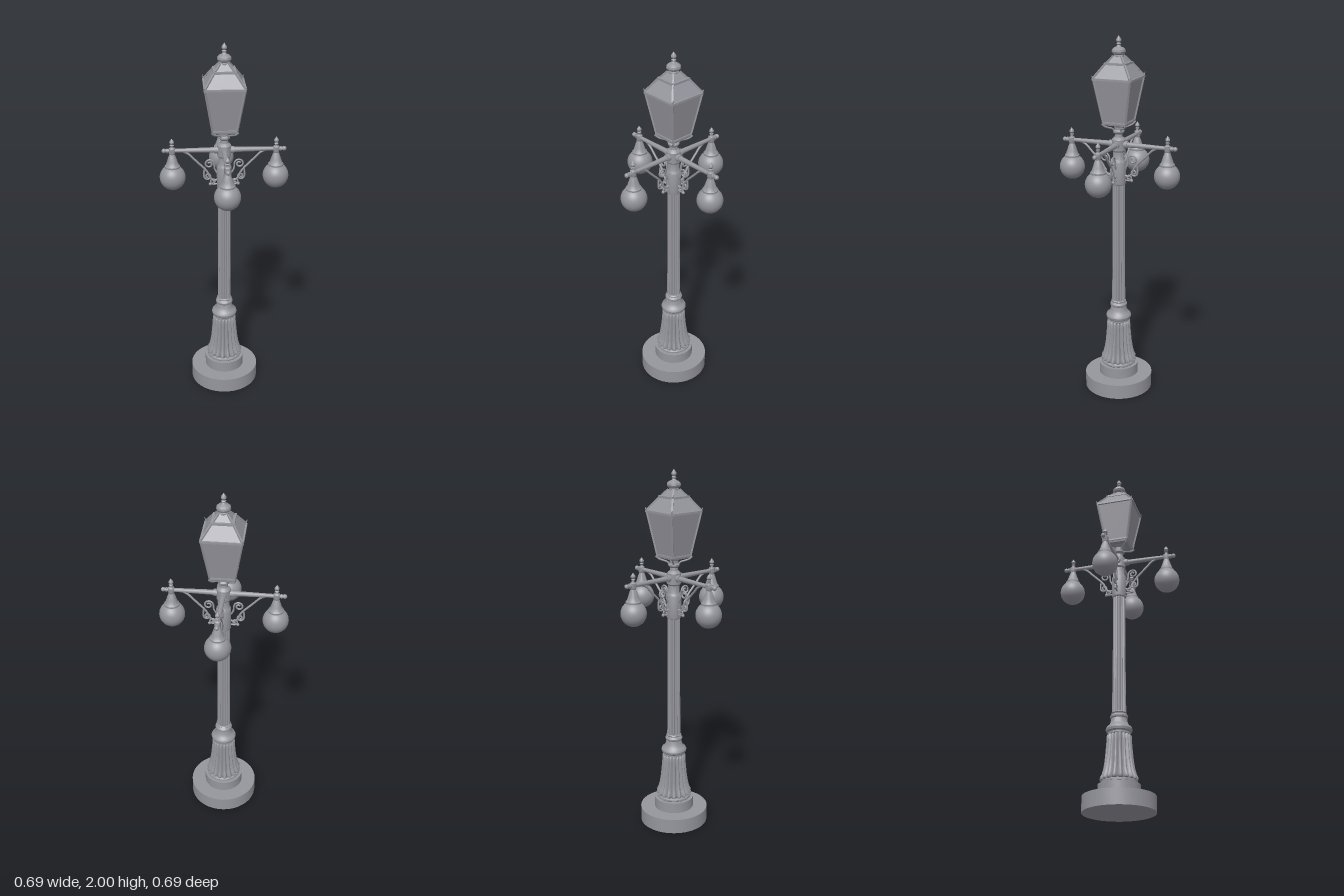
import * as THREE from 'three';
import { toCreasedNormals } from 'three/addons/utils/BufferGeometryUtils.js';

const metal = new THREE.MeshStandardMaterial({ color: 0x95959d, side: THREE.DoubleSide });
const V = (x, y, z) => new THREE.Vector3(x, y, z);

function add(parent, name, geometry, x = 0, y = 0, z = 0) {
  const mesh = new THREE.Mesh(geometry, metal);
  mesh.name = name;
  mesh.position.set(x, y, z);
  parent.add(mesh);
  return mesh;
}

// Turned part from [radius, y] pairs, with sharp edges kept
function turned(points, segments = 32) {
  const g = new THREE.LatheGeometry(points.map(([r, y]) => new THREE.Vector2(r, y)), segments);
  return toCreasedNormals(g, 0.6);
}

// Turned part with vertical rounded grooves
function fluted(points, count, depth) {
  const g = new THREE.LatheGeometry(points.map(([r, y]) => new THREE.Vector2(r, y)), count * 8);
  const p = g.attributes.position;
  for (let i = 0; i < p.count; i++) {
    const a = Math.atan2(p.getX(i), p.getZ(i));
    const k = 1 - depth * (1 - Math.abs(Math.sin(a * count / 2)));
    p.setX(i, p.getX(i) * k);
    p.setZ(i, p.getZ(i) * k);
  }
  return toCreasedNormals(g, 0.7);
}

// Square frustum given by half widths
function frustum(top, bottom, y0, y1, open = false) {
  const g = new THREE.CylinderGeometry(top * Math.SQRT2, bottom * Math.SQRT2, y1 - y0, 4, 1, open);
  return toCreasedNormals(g.rotateY(Math.PI / 4).translate(0, (y0 + y1) / 2, 0), 0.3);
}

// Square bar between two points, in the space of its parent
function bar(parent, name, a, b, w) {
  const g = new THREE.BoxGeometry(w, w, a.distanceTo(b));
  g.applyMatrix4(new THREE.Matrix4().lookAt(b, a, V(0, 1, 0)));
  add(parent, name, g, (a.x + b.x) / 2, (a.y + b.y) / 2, (a.z + b.z) / 2);
}

function tube(points, r) {
  const curve = new THREE.CatmullRomCurve3(points.map(([x, y]) => V(x, y, 0)));
  return new THREE.TubeGeometry(curve, points.length * 6, r, 8);
}

// Scroll that winds inward around a centre
function scroll(cx, cy, r, start, turns, dir) {
  const pts = [];
  for (let i = 0; i <= 14; i++) {
    const t = i / 14, a = start + dir * t * turns * Math.PI * 2, s = r * (1 - 0.72 * t);
    pts.push([cx + Math.cos(a) * s, cy + Math.sin(a) * s]);
  }
  return pts;
}

function createPost() {
  const post = new THREE.Group();
  post.name = 'post';
  add(post, 'plinth', turned([[0, 0], [0.19, 0], [0.19, 0.083], [0, 0.083]], 64));
  add(post, 'plinthStep', turned([[0.11, 0.08], [0.11, 0.143], [0, 0.143]], 48));
  add(post, 'baseMoulding', turned([[0.09, 0.142], [0.096, 0.148], [0.096, 0.157], [0.088, 0.163], [0.06, 0.165]]));
  add(post, 'flutedBase', fluted([[0.088, 0.16], [0.099, 0.167], [0.1, 0.178], [0.091, 0.195], [0.083, 0.225],
    [0.076, 0.27], [0.071, 0.32], [0.067, 0.37], [0.066, 0.4], [0.055, 0.412]], 18, 0.17));
  add(post, 'baseCapital', turned([[0.05, 0.4], [0.06, 0.408], [0.06, 0.418], [0.068, 0.425], [0.071, 0.437],
    [0.066, 0.449], [0.054, 0.457], [0.046, 0.475], [0.042, 0.495], [0.047, 0.5], [0.048, 0.508],
    [0.044, 0.515], [0.038, 0.52], [0.042, 0.526], [0.036, 0.532]]));
  add(post, 'flutedShaft', fluted([[0.038, 0.52], [0.035, 0.8], [0.034, 1.215]], 12, 0.24));
  add(post, 'collar', turned([[0.03, 1.205], [0.038, 1.21], [0.04, 1.22], [0.04, 1.33], [0.036, 1.342],
    [0.031, 1.35], [0.031, 1.39], [0.037, 1.398], [0.037, 1.456], [0.03, 1.464], [0.022, 1.47],
    [0.02, 1.485], [0.03, 1.495], [0.031, 1.503], [0.023, 1.51], [0.024, 1.525], [0.04, 1.543], [0.04, 1.55]]));
  return post;
}

// One arm along +x with its bracket, scrolls and hanging globe
function createArm() {
  const arm = new THREE.Group();
  arm.name = 'arm';
  const rod = new THREE.CylinderGeometry(0.0095, 0.015, 0.3, 16).rotateZ(-Math.PI / 2);
  add(arm, 'armRod', rod, 0.16, 1.43, 0);
  add(arm, 'armCollar', new THREE.CylinderGeometry(0.019, 0.019, 0.02, 16).rotateZ(Math.PI / 2), 0.042, 1.43, 0);
  add(arm, 'armEnd', new THREE.SphereGeometry(0.0125, 14, 10), 0.317, 1.43, 0);
  add(arm, 'armRing', new THREE.CylinderGeometry(0.013, 0.013, 0.006, 14).rotateZ(Math.PI / 2), 0.3, 1.43, 0);
  // Curved bracket and decorative scrolls
  add(arm, 'bracket', tube([[0.22, 1.425], [0.19, 1.41], [0.16, 1.38], [0.13, 1.35], [0.105, 1.325],
    [0.087, 1.3], [0.075, 1.272], [0.055, 1.255], [0.035, 1.262]], 0.006));
  add(arm, 'upperScroll', tube([[0.04, 1.3], [0.052, 1.325], ...scroll(0.08, 1.35, 0.026, Math.PI, 1.4, -1)], 0.005));
  add(arm, 'lowerScroll', tube([[0.105, 1.325], [0.108, 1.3], ...scroll(0.088, 1.28, 0.02, 0, 1.3, -1)], 0.005));
  add(arm, 'innerScroll', tube([[0.036, 1.235], ...scroll(0.058, 1.25, 0.018, -2, 1.2, 1)], 0.005));
  add(arm, 'scrollTip', new THREE.SphereGeometry(0.009, 10, 8), 0.075, 1.235, 0);
  // Hanging globe lamp
  add(arm, 'globe', new THREE.SphereGeometry(0.069, 32, 24), 0.275, 1.28, 0);
  add(arm, 'globeCap', turned([[0, 1.335], [0.04, 1.335], [0.041, 1.345], [0.034, 1.352], [0.028, 1.37],
    [0.02, 1.395], [0.014, 1.41], [0.017, 1.417], [0.017, 1.442], [0.01, 1.448]], 24), 0.275);
  add(arm, 'globeFinial', turned([[0.009, 1.44], [0.007, 1.455], [0.012, 1.46], [0.007, 1.465], [0.013, 1.474],
    [0.012, 1.481], [0.005, 1.491], [0, 1.498]], 12), 0.275);
  return arm;
}

function createLantern() {
  const lantern = new THREE.Group();
  lantern.name = 'lantern';
  add(lantern, 'lanternFloor', frustum(0.064, 0.06, 1.538, 1.552));
  add(lantern, 'glass', frustum(0.1, 0.06, 1.548, 1.782, true));
  add(lantern, 'roof', frustum(0.052, 0.1, 1.788, 1.857));
  add(lantern, 'roofCornice', frustum(0.059, 0.059, 1.853, 1.864));
  add(lantern, 'upperRoof', frustum(0.022, 0.047, 1.862, 1.896));

  // Frame repeated on the four sides
  for (let i = 0; i < 4; i++) {
    const side = new THREE.Group();
    side.name = 'lanternSide';
    side.rotation.y = i * Math.PI / 2;
    bar(side, 'cornerPost', V(0.062, 1.545, 0.062), V(0.102, 1.785, 0.102), 0.009);
    bar(side, 'upperRail', V(-0.103, 1.783, 0.103), V(0.103, 1.783, 0.103), 0.011);
    bar(side, 'lowerRail', V(-0.063, 1.553, 0.063), V(0.063, 1.553, 0.063), 0.009);
    bar(side, 'roofRidge', V(0.101, 1.79, 0.101), V(0.053, 1.859, 0.053), 0.009);
    bar(side, 'upperRidge', V(0.048, 1.864, 0.048), V(0.022, 1.897, 0.022), 0.008);
    const tip = add(side, 'cornerTip', new THREE.ConeGeometry(0.006, 0.026, 8), 0.104, 1.795, 0.104);
    tip.rotation.set(0.3, 0, -0.3);
    // Curved stay below each lower corner
    const stay = new THREE.CatmullRomCurve3([V(0.012, 1.49, 0.012), V(0.024, 1.515, 0.024),
      V(0.042, 1.524, 0.042), V(0.057, 1.532, 0.057), V(0.069, 1.546, 0.069)]);
    add(side, 'lanternStay', new THREE.TubeGeometry(stay, 14, 0.005, 6));
    lantern.add(side);
  }

  // Crown and finial
  add(lantern, 'crown', turned([[0.026, 1.89], [0.026, 1.899], [0.021, 1.902], [0.032, 1.908], [0.037, 1.918],
    [0.035, 1.929], [0.025, 1.938], [0.013, 1.943], [0.008, 1.952], [0.013, 1.957], [0.008, 1.963],
    [0.014, 1.973], [0.013, 1.981], [0.005, 1.993], [0, 2]], 24));
  return lantern;
}

export function createModel() {
  const model = new THREE.Group();
  model.name = 'streetLamp';
  model.add(createPost(), createLantern());
  for (let i = 0; i < 4; i++) {
    const arm = createArm();
    arm.rotation.y = i * Math.PI / 2;
    model.add(arm);
  }
  return model;
}
